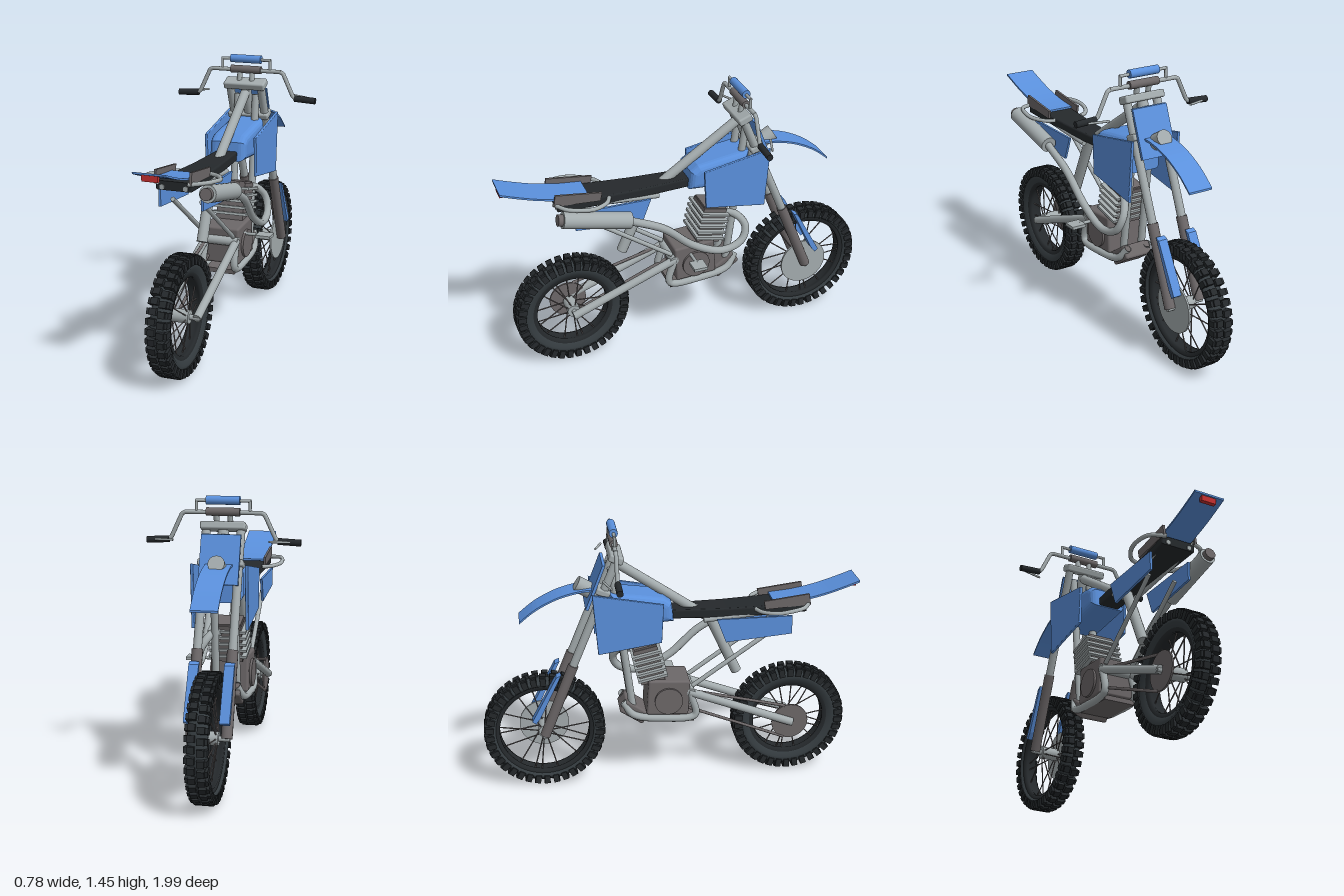
import * as THREE from 'three';
import { RoundedBoxGeometry } from 'three/addons/geometries/RoundedBoxGeometry.js';

const mat = (name, color) => {
  const m = new THREE.MeshStandardMaterial({ color, side: THREE.DoubleSide });
  m.name = name;
  return m;
};
const V = (x, y, z) => new THREE.Vector3(x, y, z);

export function createModel() {
  const blue = mat('blue plastic', 0x5a90dc), silver = mat('silver metal', 0xa3abad);
  const grey = mat('engine grey', 0x6c6768), black = mat('black rubber', 0x25292c);
  const tyreGrey = mat('tyre grey', 0x353c40), red = mat('red lens', 0xc62f2f);
  const bike = new THREE.Group();
  bike.name = 'dirtBike';

  const add = (name, geo, m, parent = bike) => {
    const mesh = new THREE.Mesh(geo, m);
    mesh.name = name;
    parent.add(mesh);
    return mesh;
  };
  // straight round bar between two points
  const rod = (name, a, b, r, m, parent = bike, sides = 14) => {
    const d = b.clone().sub(a);
    const mesh = add(name, new THREE.CylinderGeometry(r, r, d.length(), sides), m, parent);
    mesh.position.copy(a).add(b).multiplyScalar(0.5);
    mesh.quaternion.setFromUnitVectors(V(0, 1, 0), d.normalize());
    return mesh;
  };
  const tube = (name, pts, r, m, tension = 0.5) => add(name, new THREE.TubeGeometry(
    new THREE.CatmullRomCurve3(pts, false, 'catmullrom', tension), pts.length * 10, r, 10), m);
  const box = (name, w, h, d, x, y, z, m, tilt = 0, r = 0) => {
    const mesh = add(name, r ? new RoundedBoxGeometry(w, h, d, 3, r) : new THREE.BoxGeometry(w, h, d), m);
    mesh.position.set(x, y, z);
    mesh.rotation.x = tilt;
    return mesh;
  };
  // side outline of [z, y] points, extruded across x and centred on the given x
  const slab = (name, pts, width, x, m, bevel = 0) => {
    const shape = new THREE.Shape(pts.map(p => new THREE.Vector2(p[0], p[1])));
    const geo = new THREE.ExtrudeGeometry(shape, { depth: width - 2 * bevel, bevelEnabled: bevel > 0,
      bevelSize: bevel, bevelThickness: bevel, bevelOffset: -bevel, bevelSegments: 4 });
    geo.translate(0, 0, bevel - width / 2).rotateY(-Math.PI / 2).translate(x, 0, 0);
    return add(name, geo, m);
  };
  // thin curved sheet following a smoothed [z, y] line
  const sheet = (name, pts, width, t, m) => {
    const line = new THREE.SplineCurve(pts.map(p => new THREE.Vector2(p[0], p[1]))).getPoints(20);
    const top = line.map(p => [p.x, p.y]);
    const under = line.map(p => [p.x, p.y - t]).reverse();
    return slab(name, [...top, ...under], width, 0, m);
  };

  // wheels: tyre, knobs, rim, spokes and hub
  const wheel = (name, z, R, rimR) => {
    const g = new THREE.Group();
    g.name = name;
    g.position.set(0, R, z);
    bike.add(g);
    const o = R - 0.022, mid = (o + rimR) / 2;
    const lathe = pts => new THREE.LatheGeometry(pts.map(p => new THREE.Vector2(p[0], p[1])), 56).rotateZ(Math.PI / 2);
    add('tyre', lathe([[rimR + 0.02, -0.034], [mid, -0.05], [o - 0.02, -0.046], [o, -0.026], [o, 0.026],
      [o - 0.02, 0.046], [mid, 0.05], [rimR + 0.02, 0.034]]), tyreGrey, g);
    add('rim', lathe([[rimR + 0.022, -0.036], [rimR, -0.034], [rimR, -0.02], [rimR + 0.01, 0],
      [rimR, 0.02], [rimR, 0.034], [rimR + 0.022, 0.036]]), black, g);
    const n = 38, knob = new THREE.BoxGeometry(0.036, 0.03, 0.033), side = new THREE.BoxGeometry(0.014, 0.045, 0.03);
    for (let i = 0; i < n; i++) for (const s of [-1, 1]) {
      const a = (i + (s > 0 ? 0.25 : 0)) / n * Math.PI * 2;
      for (const [geo, r, x] of [[knob, R - 0.016, 0.023], [side, R - 0.031, 0.049]]) {
        const k = add('knob', geo, black, g);
        k.position.set(s * x, Math.cos(a) * r, Math.sin(a) * r);
        k.rotation.x = a;
      }
    }
    for (let i = 0; i < 18; i++) {
      const a = i / 18 * Math.PI * 2, s = i % 2 ? 1 : -1, b = a + (i % 4 < 2 ? 0.1 : -0.1);
      rod('spoke', V(s * 0.04, Math.cos(a) * 0.03, Math.sin(a) * 0.03),
        V(0, Math.cos(b) * (rimR + 0.01), Math.sin(b) * (rimR + 0.01)), 0.0035, grey, g, 6);
    }
    rod('hub', V(-0.05, 0, 0), V(0.05, 0, 0), 0.034, silver, g, 24);
    rod('axle', V(-0.105, 0, 0), V(0.105, 0, 0), 0.014, silver, g);
    return g;
  };
  const rear = wheel('rearWheel', 0.66, 0.31, 0.195);
  const front = wheel('frontWheel', -0.67, 0.325, 0.24);
  rod('brakeDisc', V(0.058, 0, 0), V(0.068, 0, 0), 0.133, silver, front, 40);
  rod('sprocket', V(-0.08, 0, 0), V(-0.07, 0, 0), 0.1, grey, rear, 32);

  // chain runs
  rod('chainTop', V(-0.075, 0.405, 0.63), V(-0.075, 0.54, 0.08), 0.008, grey);
  rod('chainBottom', V(-0.075, 0.215, 0.63), V(-0.075, 0.44, 0.08), 0.008, grey);

  // frame spine, shock and subframe
  rod('backbone', V(0, 1.25, -0.27), V(0, 0.93, 0.2), 0.026, silver);
  rod('steeringHead', V(0, 1.3, -0.27), V(0, 1.1, -0.35), 0.028, silver);
  rod('shock', V(0, 0.97, 0.2), V(0, 0.6, 0.37), 0.028, silver);
  rod('swingarmPivot', V(-0.1, 0.53, 0.11), V(0.1, 0.53, 0.11), 0.024, silver);
  for (const s of [-1, 1]) {
    rod('swingarm', V(s * 0.09, 0.31, 0.67), V(s * 0.085, 0.53, 0.1), 0.022, silver);
    rod('subframeStrut', V(s * 0.075, 0.87, 0.56), V(s * 0.075, 0.56, 0.12), 0.012, silver);
    rod('subframeRail', V(s * 0.07, 0.975, 0.7), V(s * 0.06, 0.93, 0.18), 0.014, silver);
    rod('downTube', V(s * 0.05, 1.24, -0.3), V(s * 0.055, 0.46, -0.2), 0.02, silver);
    tube('cradleTube', [V(s * 0.085, 0.52, 0.11), V(s * 0.09, 0.39, 0.13), V(s * 0.09, 0.385, -0.05),
      V(s * 0.085, 0.41, -0.19), V(s * 0.06, 0.48, -0.25)], 0.02, silver);

    // front forks
    rod('forkTube', V(s * 0.088, 1.31, -0.265), V(s * 0.088, 0.7, -0.518), 0.022, silver);
    rod('forkLeg', V(s * 0.088, 0.725, -0.508), V(s * 0.088, 0.325, -0.67), 0.028, grey);
    slab('forkGuard', [[-0.575, 0.68], [-0.6, 0.67], [-0.735, 0.42], [-0.715, 0.405], [-0.69, 0.44]], 0.05, s * 0.088, blue);

    // side bodywork
    const shroud = slab('tankShroud', [[-0.04, 1.06], [-0.405, 1.13], [-0.38, 0.8], [-0.05, 0.85]], 0.016, s * 0.137, blue, 0.004);
    shroud.name = s > 0 ? 'leftShroud' : 'rightShroud';
    slab('sidePanel', [[0.64, 0.95], [0.64, 0.85], [0.29, 0.82], [0.24, 0.95]], 0.012, s * 0.11, blue);
    slab('tailPanel', [[0.73, 1.06], [0.74, 1.0], [0.5, 0.985], [0.49, 1.03]], 0.012, s * 0.09, grey);

    // grab handle loop
    tube('grabHandle', [V(s * 0.08, 0.985, 0.45), V(s * 0.13, 0.985, 0.48), V(s * 0.17, 0.99, 0.55), V(s * 0.175, 1.0, 0.62),
      V(s * 0.15, 1.005, 0.69), V(s * 0.075, 1.0, 0.735)], 0.011, silver);

    // handlebar end, grip and lever
    tube('handlebarEnd', [V(s * 0.19, 1.372, -0.285), V(s * 0.21, 1.36, -0.285), V(s * 0.262, 1.25, -0.285),
      V(s * 0.28, 1.235, -0.285), V(s * 0.32, 1.232, -0.285)], 0.011, silver, 0.2);
    rod('grip', V(s * 0.275, 1.234, -0.285), V(s * 0.39, 1.228, -0.285), 0.017, black);
    rod('lever', V(s * 0.34, 1.235, -0.32), V(s * 0.24, 1.24, -0.355), 0.006, silver);
    rod('crossbarPost', V(s * 0.135, 1.37, -0.285), V(s * 0.135, 1.432, -0.285), 0.008, silver);
    rod('barRiser', V(s * 0.035, 1.31, -0.275), V(s * 0.035, 1.375, -0.285), 0.014, silver);
    rod('tailBolt', V(s * 0.06, 0.975, 0.7), V(s * 0.06, 0.975, 0.725), 0.014, silver, bike, 6);
  }

  // handlebar centre and clamps
  rod('handlebar', V(-0.195, 1.372, -0.285), V(0.195, 1.372, -0.285), 0.011, silver);
  rod('crossbar', V(-0.14, 1.43, -0.285), V(0.14, 1.43, -0.285), 0.008, silver);
  rod('crossbarPad', V(-0.085, 1.432, -0.285), V(0.085, 1.432, -0.285), 0.022, blue, bike, 20);
  rod('barClamp', V(-0.085, 1.375, -0.285), V(0.085, 1.375, -0.285), 0.021, grey, bike, 20);
  box('upperForkClamp', 0.23, 0.04, 0.075, 0, 1.3, -0.275, silver, 0.38, 0.01);
  box('lowerForkClamp', 0.23, 0.035, 0.075, 0, 1.125, -0.345, silver, 0.38, 0.01);

  // tank, seat, fenders and front plate
  slab('fuelTank', [[0.02, 0.94], [0.01, 1.04], [-0.03, 1.07], [-0.16, 1.09], [-0.31, 1.11], [-0.31, 0.92]], 0.2, 0, blue, 0.035);
  const seat = slab('seat', [[0.72, 1.005], [0.55, 1.0], [0.3, 0.992], [-0.04, 0.992], [-0.04, 0.945], [0.3, 0.94], [0.55, 0.95], [0.72, 0.96]], 0.18, 0, black, 0.01);
  const sp = seat.geometry.attributes.position;
  for (let i = 0; i < sp.count; i++) sp.setX(i, sp.getX(i) * THREE.MathUtils.mapLinear(sp.getZ(i), -0.04, 0.55, 0.6, 0.95));
  seat.geometry.computeVertexNormals();
  sheet('rearFender', [[0.55, 1.012], [0.68, 1.025], [0.8, 1.05], [0.9, 1.08], [1.0, 1.115]], 0.166, 0.01, blue);
  sheet('frontFender', [[-0.27, 1.1], [-0.4, 1.13], [-0.55, 1.105], [-0.68, 1.045], [-0.775, 0.972]], 0.134, 0.01, blue);
  box('tailLight', 0.08, 0.03, 0.022, 0, 1.088, 0.983, red);
  slab('numberPlate', [[-0.33, 1.27], [-0.345, 1.27], [-0.437, 1.035], [-0.422, 1.03]], 0.2, 0, blue);
  rod('headlamp', V(0, 1.1, -0.4), V(0, 1.145, -0.475), 0.042, silver, bike, 24);

  // engine block, covers and finned cylinder
  box('crankcase', 0.2, 0.2, 0.225, 0, 0.505, -0.01, grey, 0.06, 0.012);
  box('sump', 0.16, 0.075, 0.15, 0, 0.42, -0.19, grey, 0.6, 0.012);
  box('skidPlate', 0.17, 0.025, 0.26, 0, 0.375, 0.0, grey, 0.06);
  for (const s of [-1, 1]) rod('engineCover', V(s * 0.09, 0.49, -0.01), V(s * 0.112, 0.49, -0.01), 0.075, grey, bike, 28);
  box('cylinder', 0.15, 0.2, 0.13, 0, 0.69, -0.11, grey, -0.22);
  for (let i = 0; i < 5; i++) box('coolingFin', 0.2, 0.014, 0.16, 0, 0.625 + i * 0.034, -0.092 - i * 0.008, silver, -0.22);
  box('cylinderHead', 0.14, 0.03, 0.12, 0, 0.782, -0.128, grey, -0.22);

  // exhaust pipe, silencer and foot peg
  tube('exhaustPipe', [V(0.03, 0.73, -0.14), V(0.07, 0.742, -0.23), V(0.115, 0.68, -0.285), V(0.14, 0.6, -0.25), V(0.15, 0.575, -0.13),
    V(0.155, 0.65, 0.03), V(0.165, 0.79, 0.19), V(0.17, 0.885, 0.38)], 0.021, silver);
  rod('silencer', V(0.17, 0.885, 0.37), V(0.17, 0.962, 0.72), 0.043, silver, bike, 28);
  rod('silencerTip', V(0.17, 0.961, 0.715), V(0.17, 0.966, 0.745), 0.03, grey, bike, 24);
  box('footPeg', 0.08, 0.016, 0.075, 0.215, 0.552, 0.018, silver);
  rod('pegArm', V(0.09, 0.552, 0.018), V(0.19, 0.552, 0.018), 0.009, silver);
  return bike;
}
